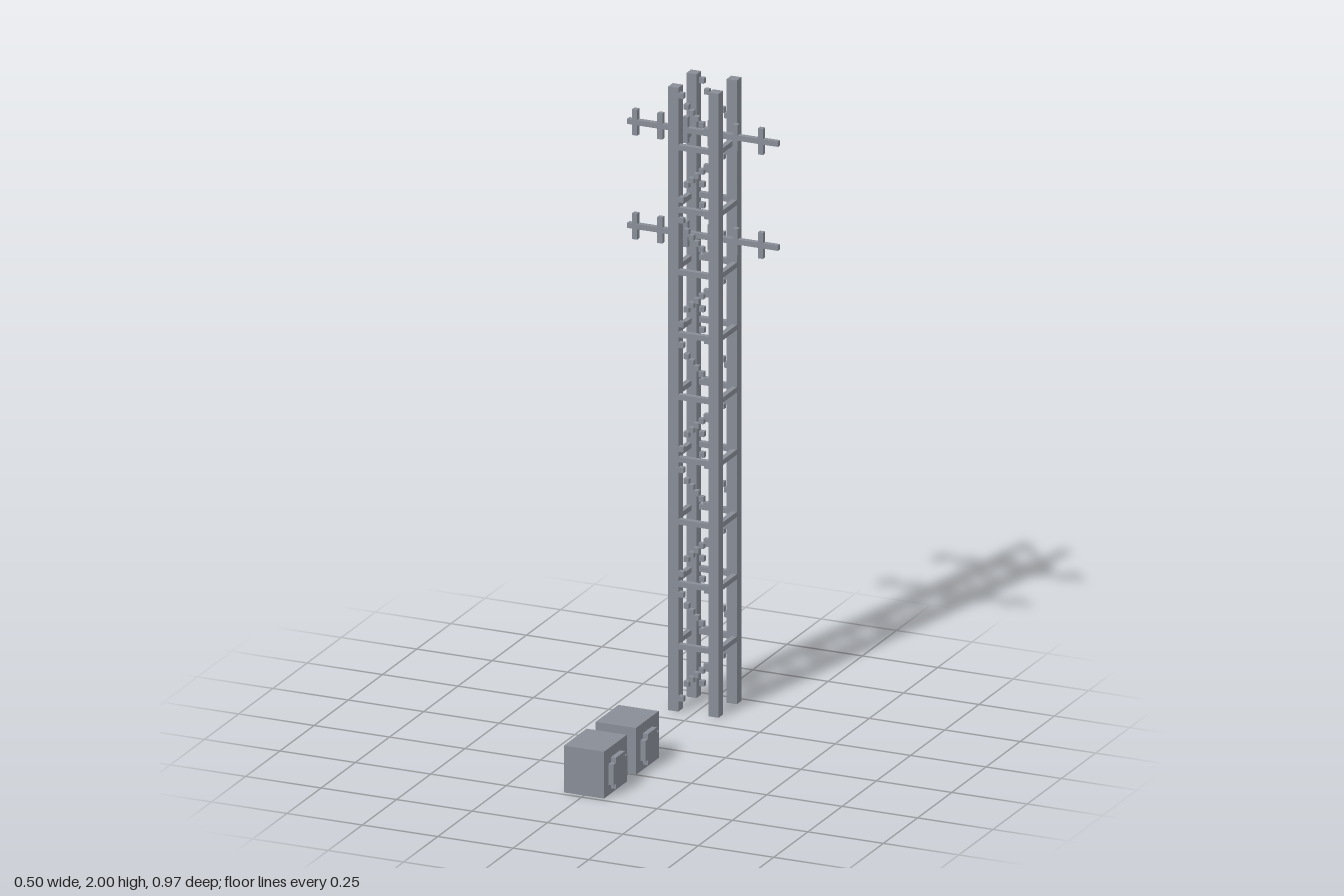
import * as THREE from 'three';

const U = 1 / 60; // one block; the tower is 120 blocks tall

export function createModel() {
  const model = new THREE.Group();
  model.name = 'latticeMast';
  const steel = new THREE.MeshStandardMaterial({ color: 0x888d96 });
  steel.name = 'steel grey';

  // Box given by its minimum corner and size, in blocks
  const block = (parent, name, [x, y, z], [w, h, d]) => {
    const mesh = new THREE.Mesh(new THREE.BoxGeometry(w * U, h * U, d * U), steel);
    mesh.position.set((x + w / 2) * U, (y + h / 2) * U, (z + d / 2) * U);
    mesh.name = name;
    parent.add(mesh);
  };
  const group = (name) => {
    const g = new THREE.Group();
    g.name = name;
    model.add(g);
    return g;
  };

  // Four corner legs
  const tower = group('tower');
  for (const x of [-5, 3]) for (const z of [-29, -21]) block(tower, 'leg', [x, 0, z], [2, 120, 2]);

  // Horizontal rungs on all four sides
  for (let y = 12; y < 120; y += 12) {
    for (const z of [-29, -20]) block(tower, 'crossRung', [-3, y, z], [6, 1, 1]);
    for (const x of [-5, 4]) block(tower, 'sideRung', [x, y, -27], [1, 1, 6]);
  }

  // Stepped diagonal braces, alternating direction from bay to bay
  const rising = [2, 5, 6, 7, 8, 9];
  const falling = [10, 8, 7, 6, 5, 4];
  for (let bay = 0; bay < 10; bay++) {
    (bay % 2 ? falling : rising).forEach((dy, i) => {
      for (const z of [-29, -20]) block(tower, 'braceStep', [i - 3, bay * 12 + dy, z], [1, 1, 1]);
    });
  }

  // Two antenna booms with short upright elements
  for (const y of [90, 110]) {
    const antenna = group('antenna');
    block(antenna, 'boom', [-15, y, -24], [30, 1, 1]);
    for (let x = -14; x < 15; x += 5) {
      block(antenna, 'upperElement', [x, y + 1, -24], [1, 2, 1]);
      block(antenna, 'lowerElement', [x, y - 2, -24], [1, 2, 1]);
    }
  }

  // Equipment cabinets with a stepped round fan cover on the left side
  const fan = new THREE.Shape([
    [-3, -2], [-2, -2], [-2, -3], [2, -3], [2, -2], [3, -2],
    [3, 2], [2, 2], [2, 3], [-2, 3], [-2, 2], [-3, 2],
  ].map(([a, b]) => new THREE.Vector2(a * U, b * U)));
  const fanGeometry = new THREE.ExtrudeGeometry(fan, { depth: U, bevelEnabled: false });
  fanGeometry.rotateY(Math.PI / 2);
  for (const z of [5, 19]) {
    const cabinet = group('cabinet');
    block(cabinet, 'cabinetBody', [-4, 0, z], [8, 9, 10]);
    const cover = new THREE.Mesh(fanGeometry, steel);
    cover.name = 'fanCover';
    cover.position.set(4 * U, 4 * U, (z + 5) * U);
    cabinet.add(cover);
  }
  return model;
}
